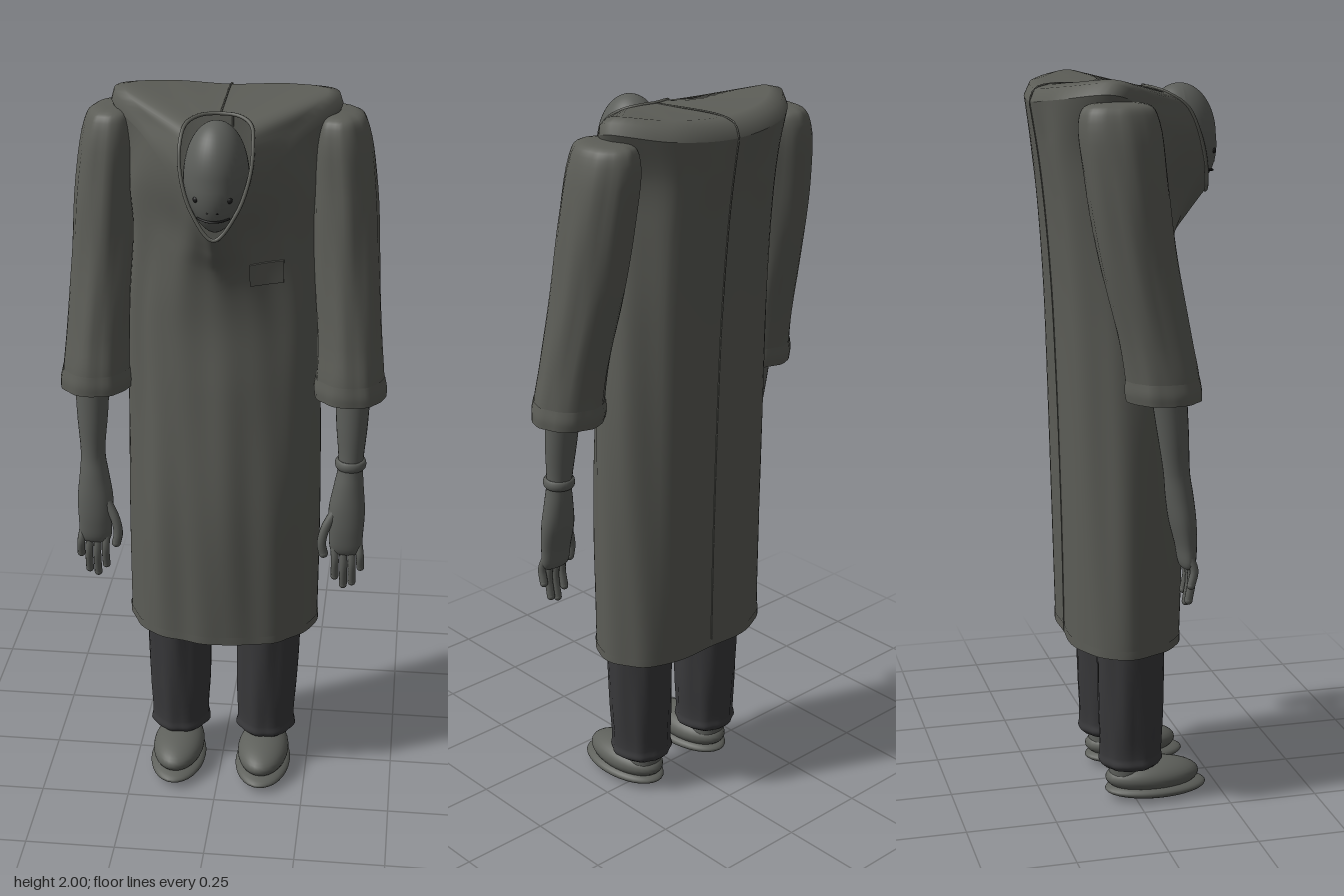
import * as THREE from 'three';

const mat = (name, color, side = THREE.FrontSide) => {
  const m = new THREE.MeshStandardMaterial({ color, side });
  m.name = name;
  return m;
};
const V = (x, y, z) => new THREE.Vector3(x, y, z);

// Surface through closed rings listed from bottom to top
function loft(rings) {
  const n = rings[0].length, idx = [];
  for (let r = 0; r < rings.length - 1; r++) {
    for (let j = 0; j < n; j++) {
      const k = (j + 1) % n, a = r * n, b = a + n;
      idx.push(a + j, b + j, a + k, b + j, b + k, a + k);
    }
  }
  const g = new THREE.BufferGeometry().setFromPoints(rings.flat());
  g.setIndex(idx);
  g.computeVertexNormals();
  return g;
}

// Adds smooth in-between rings
function refine(rings, steps) {
  const cols = rings[0].map((_, j) => new THREE.CatmullRomCurve3(rings.map(r => r[j])));
  const total = (rings.length - 1) * steps;
  return Array.from({ length: total + 1 }, (_, i) => cols.map(c => c.getPoint(i / total)));
}

// Soft vertical cloth folds
const fold = (a, y, amp) => 1 + amp * (Math.sin(7 * a + 2 * y) + 0.7 * Math.sin(12 * a - 3 * y));

// Limb through ellipses [x, y, z, rx, rz] from bottom to top, s = side
function limb(rows, s = 1, amp = 0, seg = 32) {
  const rings = rows.map(([x, y, z, rx, rz]) => Array.from({ length: seg }, (_, j) => {
    const a = j / seg * Math.PI * 2;
    return V(s * x + rx * Math.cos(a), y, z + rz * Math.sin(a));
  }));
  return loft(refine(rings, 5).map(r => {
    const c = r.reduce((q, v) => q.add(v), V(0, 0, 0)).divideScalar(seg);
    return r.map((p, j) => {
      const f = fold(j / seg * Math.PI * 2, p.y * 3, amp);
      return V(c.x + (p.x - c.x) * f, p.y, c.z + (p.z - c.z) * f);
    });
  }));
}

// Mirrors a half outline (front centre to back centre) into a smooth ring
function mirrorRing(half) {
  const pts = [...half.map(p => V(-p[0], p[1], p[2])),
    ...half.slice(1, -1).reverse().map(p => V(...p))];
  const curve = new THREE.CatmullRomCurve3(pts, true);
  return Array.from({ length: 96 }, (_, i) => curve.getPoint(i / 96));
}

export function createModel() {
  const root = new THREE.Group();
  root.name = 'hoodedFigure';
  const cloth = mat('coatGrey', 0x5c5d57, THREE.DoubleSide);
  const skin = mat('skinGrey', 0x5c5e5a);
  const shoeMat = mat('shoeGrey', 0x5e605b);
  const trouser = mat('trouserCharcoal', 0x39393b, THREE.DoubleSide);
  const dark = mat('featureBlack', 0x1c1c1c);
  const add = (name, geo, material, parent = root) => {
    const m = new THREE.Mesh(geo, material);
    m.name = name;
    parent.add(m);
    return m;
  };
  const ball = (name, material, p, s, parent = root) => {
    const m = add(name, new THREE.SphereGeometry(1, 32, 20), material, parent);
    m.position.set(...p);
    m.scale.set(...s);
    return m;
  };

  // Coat body: [front y, back y, half width, front z, back z, keel]; keel narrows the chest
  const body = [
    [0.46, 0.46, 0.255, 0.15, -0.172, 0], [0.85, 0.85, 0.256, 0.155, -0.178, 0],
    [1.2, 1.2, 0.252, 0.132, -0.186, 0], [1.43, 1.45, 0.243, 0.116, -0.195, 0],
    [1.57, 1.68, 0.236, 0.14, -0.212, 0.5], [1.63, 1.83, 0.248, 0.182, -0.23, 1],
  ].map(([yf, yb, w, zf, zb, k]) => mirrorRing([
    [0, 0, zf], [0.1 - 0.04 * k, 0.12, zf - 0.012 - 0.014 * k],
    [0.19 - 0.05 * k, 0.32, zf - 0.05 - 0.042 * k], [w - 0.015 * k, 0.65, 0.02],
    [w, 1, -0.09], [0.17, 1, zb + 0.018], [0, 1, zb],
  ].map(([x, t, z]) => [x, yf + (yb - yf) * t, z])));
  const collar = mirrorRing([
    [0, 1.69, 0.23], [0.05, 1.745, 0.215], [0.1, 1.81, 0.165], [0.2, 1.9, 0.045],
    [0.303, 1.965, -0.09], [0.19, 1.95, -0.218], [0, 1.935, -0.25],
  ]);
  const coatRings = refine([...body, collar], 7).map((r, i, all) => r.map((p, j) => {
    const amp = 0.014 * Math.min(1, (all.length - 1 - i) / 6);
    const f = fold(j / 96 * Math.PI * 2, p.y, amp);
    return V(p.x * f, p.y, p.z * f);
  }));
  const coat = add('coatBody', loft(coatRings), cloth);

  // Hood stretched from the rounded shoulder rim to the head opening
  const hoodRim = mirrorRing([
    [0, 1.69, 0.231], [0.053, 1.75, 0.217], [0.096, 1.835, 0.175], [0.19, 1.92, 0.05],
    [0.295, 1.992, -0.085], [0.184, 1.982, -0.204], [0, 1.968, -0.236],
  ]);
  const hoodMid = mirrorRing([
    [0, 1.69, 0.232], [0.055, 1.755, 0.217], [0.092, 1.845, 0.18], [0.165, 1.93, 0.063],
    [0.265, 2.0, -0.07], [0.165, 1.992, -0.17], [0, 1.98, -0.195],
  ]);
  const opening = mirrorRing([
    [0, 1.69, 0.232], [0.058, 1.76, 0.218], [0.088, 1.85, 0.19], [0.092, 1.92, 0.155],
    [0.082, 1.955, 0.105], [0.05, 1.968, 0.073], [0, 1.97, 0.06],
  ]);
  const hoodRings = [coatRings.at(-1), hoodRim, hoodMid, opening];
  add('hood', loft(hoodRings), cloth);
  add('hoodEdge', new THREE.TubeGeometry(
    new THREE.CatmullRomCurve3(opening, true), 96, 0.005, 8, true), cloth);

  // Seam down the middle of the hood and back
  const seam = [...coatRings, ...hoodRings.slice(1)].map(r => r[48]);
  add('backSeam', new THREE.TubeGeometry(new THREE.CatmullRomCurve3(seam), 100, 0.0025, 6), cloth);

  // Coat hem and chest pocket laid on the cloth
  add('coatHem', loft([0, 1, 2].map(i => coatRings[0].map(p =>
    V(p.x * 1.01, 0.46 + i * 0.012, p.z * 1.01)))), cloth);
  const pocket = new THREE.BoxGeometry(0.085, 0.06, 0.009, 6, 4, 1).translate(0.125, 1.56, 0.003);
  coat.updateMatrixWorld();
  const pp = pocket.attributes.position;
  for (let i = 0; i < pp.count; i++) {
    const ray = new THREE.Raycaster(V(pp.getX(i), pp.getY(i), 1), V(0, 0, -1));
    pp.setZ(i, pp.getZ(i) + ray.intersectObject(coat)[0].point.z);
  }
  pocket.computeVertexNormals();
  add('chestPocket', pocket, cloth);

  // Egg-shaped head narrowing to the chin
  const head = new THREE.Group();
  head.name = 'head';
  root.add(head);
  const skull = new THREE.SphereGeometry(1, 40, 28);
  const sp = skull.attributes.position;
  for (let i = 0; i < sp.count; i++) {
    const t = Math.max(0, -sp.getY(i)), taper = 1 - 0.25 * t * t;
    sp.setXYZ(i, sp.getX(i) * 0.083 * taper, 1.838 + sp.getY(i) * 0.14,
      0.158 + sp.getZ(i) * 0.1 + t * 0.02);
  }
  skull.computeVertexNormals();
  add('skull', skull, skin, head);
  for (const s of [-1, 1]) {
    ball('eye', dark, [s * 0.042, 1.8, 0.241], [0.008, 0.008, 0.007], head);
    ball('nostril', dark, [s * 0.012, 1.768, 0.25], [0.004, 0.003, 0.004], head);
  }
  add('mouth', new THREE.TubeGeometry(new THREE.QuadraticBezierCurve3(
    V(-0.04, 1.748, 0.228), V(0, 1.742, 0.274), V(0.04, 1.748, 0.228)), 16, 0.003, 6), dark, head);

  for (const s of [-1, 1]) {
    const side = s > 0 ? 'left' : 'right';

    // Sleeve with a wider cuff
    add(side + 'Sleeve', limb([
      [0.347, 1.2, 0.022, 0.09, 0.095], [0.345, 1.25, 0.018, 0.09, 0.096],
      [0.34, 1.35, 0, 0.086, 0.094], [0.325, 1.55, -0.04, 0.088, 0.1],
      [0.313, 1.75, -0.067, 0.087, 0.106], [0.3, 1.9, -0.083, 0.076, 0.104],
      [0.297, 1.94, -0.085, 0.058, 0.085], [0.297, 1.95, -0.085, 0.001, 0.001],
    ], s, 0.018, 40), cloth);
    add(side + 'Cuff', limb([
      [0.347, 1.195, 0.022, 0.096, 0.098], [0.346, 1.22, 0.02, 0.097, 0.1],
      [0.345, 1.25, 0.018, 0.092, 0.097],
    ], s, 0.018, 40), cloth);

    // Forearm and palm
    add(side + 'Arm', limb([
      [0.352, 0.735, 0.085, 0.001, 0.001], [0.352, 0.745, 0.085, 0.04, 0.018],
      [0.35, 0.8, 0.083, 0.047, 0.028], [0.35, 0.87, 0.073, 0.05, 0.036],
      [0.353, 0.94, 0.063, 0.041, 0.037], [0.356, 1.0, 0.055, 0.034, 0.035],
      [0.356, 1.12, 0.043, 0.043, 0.042], [0.354, 1.3, 0.02, 0.05, 0.05],
      [0.34, 1.5, -0.03, 0.05, 0.05],
    ], s, 0, 24), skin);

    // Fingers [x at knuckle, x at tip, y at tip] and thumb
    const digit = (name, pts, r) => {
      const path = new THREE.CatmullRomCurve3(pts.map(p => V(s * p[0], p[1], p[2])));
      add(name, new THREE.TubeGeometry(path, 12, r, 10), skin);
      const e = path.getPoint(1);
      ball(name + 'Tip', skin, [e.x, e.y, e.z], [r, r, r]);
    };
    [[0.318, 0.322, 0.668], [0.342, 0.346, 0.642], [0.364, 0.37, 0.652], [0.385, 0.393, 0.7]]
      .forEach(([a, b, y], i) => digit(side + 'Finger' + (i + 1),
        [[a, 0.78, 0.083], [(a + b) / 2 + 0.002, (y + 0.78) / 2, 0.095], [b, y, 0.086]], 0.011));
    digit(side + 'Thumb', [[0.325, 0.88, 0.08], [0.293, 0.82, 0.095], [0.284, 0.775, 0.1], [0.29, 0.745, 0.1]], 0.013);

    // Trouser leg with a gathered hem
    add(side + 'TrouserLeg', limb([
      [0.126, 0.1, -0.01, 0.07, 0.075], [0.126, 0.115, -0.01, 0.086, 0.088],
      [0.126, 0.14, -0.01, 0.082, 0.086], [0.127, 0.25, -0.01, 0.087, 0.09],
      [0.13, 0.46, -0.01, 0.092, 0.095], [0.13, 0.75, -0.01, 0.096, 0.1],
    ], s, 0.02, 40), trouser);

    // Shoe: upper, sole and ankle
    ball(side + 'ShoeUpper', shoeMat, [s * 0.125, 0.06, 0.055], [0.074, 0.046, 0.135]);
    ball(side + 'ShoeSole', shoeMat, [s * 0.125, 0.025, 0.065], [0.08, 0.025, 0.146]);
    add(side + 'Ankle', limb([[0.125, 0.06, -0.02, 0.05, 0.05], [0.125, 0.2, -0.02, 0.045, 0.045]], s), skin);
  }

  // Wristband on the left arm
  const band = add('wristband', new THREE.TorusGeometry(0.036, 0.007, 10, 32), skin);
  band.rotation.x = Math.PI / 2;
  band.scale.z = 2;
  band.position.set(0.356, 1.005, 0.055);

  return root;
}
